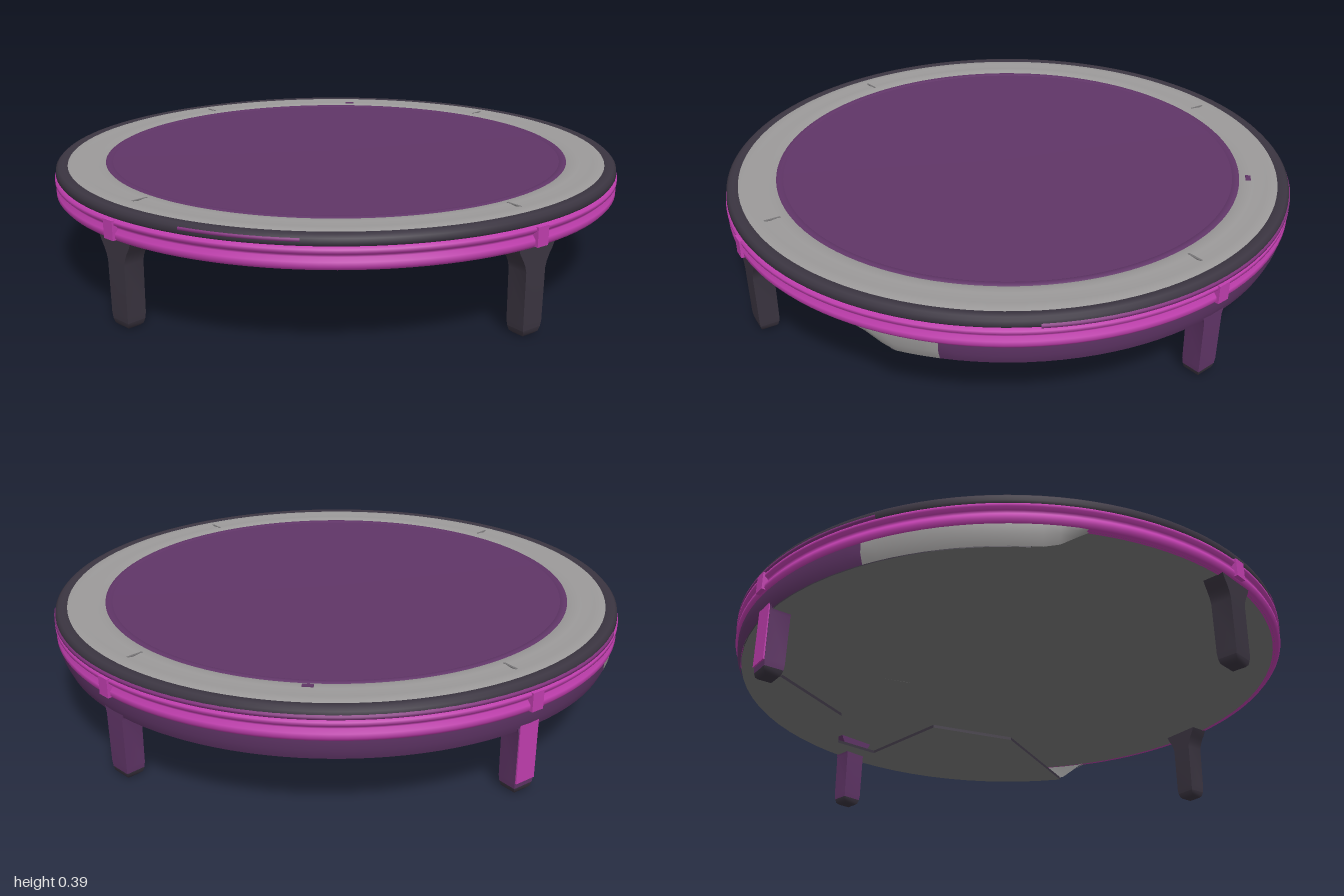
import * as THREE from 'three';
import { toCreasedNormals } from 'three/addons/utils/BufferGeometryUtils.js';

const paint = (name, color) => {
  const m = new THREE.MeshStandardMaterial({ color });
  m.name = name;
  return m;
};

export function createModel() {
  const group = new THREE.Group();
  group.name = 'trampoline';

  const black = paint('charcoal', 0x3b3541);
  const pink = paint('magenta', 0xc03eae);
  const purple = paint('purple', 0x603567);
  const grey = paint('pad grey', 0x9c9a9a);
  const under = paint('underside grey', 0x7a7a7a);
  const seam = paint('seam grey', 0x777577);
  const plum = paint('plum', 0x84337f);

  const deg = Math.PI / 180;
  const add = (name, geometry, material) => {
    const mesh = new THREE.Mesh(geometry, material);
    mesh.name = name;
    group.add(mesh);
    return mesh;
  };
  // Profile of [radius, height] turned from angle a to b, measured from the front towards +x
  const turned = (pts, a = 0, b = 360) => new THREE.LatheGeometry(
    pts.map(p => new THREE.Vector2(...p)), Math.ceil((b - a) / 3), a * deg, (b - a) * deg);

  // Concentric rings of the top, each profile running outside to inside
  add('outerRim', turned([[0.965, 0.354], [0.984, 0.358], [0.991, 0.368], [0.989, 0.384],
    [0.98, 0.393], [0.966, 0.396], [0.95, 0.391]]), black);
  add('pad', turned([[0.955, 0.389], [0.94, 0.394], [0.915, 0.395], [0.89, 0.391],
    [0.865, 0.394], [0.84, 0.393], [0.82, 0.387]]), grey);
  add('matEdge', turned([[0.822, 0.387], [0.815, 0.391], [0.805, 0.391], [0.795, 0.386]]), purple);
  add('mat', turned([[0.81, 0.387], [0, 0.386]]), purple);

  // Coloured trim on the rim: a long strip round the back, a short one in front
  add('backTrim', turned([[0.984, 0.355], [0.995, 0.362], [0.995, 0.37], [0.988, 0.376]], 105, 250), plum);
  add('frontTrim', turned([[0.988, 0.372], [0.993, 0.376], [0.992, 0.382], [0.986, 0.386]], 336, 357), plum);

  // Side band with a shallow groove
  add('sideBand', turned([[0.965, 0.288], [0.984, 0.291], [0.993, 0.302], [0.992, 0.316],
    [0.981, 0.328], [0.985, 0.336], [0.995, 0.343], [0.995, 0.353], [0.985, 0.361], [0.965, 0.362]]), pink);
  add('underside', turned([[0, 0.289], [0.972, 0.289]]), under);

  // Skirt round the back half; its lower edge rises at both ends
  const from = 72, to = 288;
  const outside = [[0.968, 0.225], [0.982, 0.258], [0.984, 0.296]];
  const inside = [[0.974, 0.296], [0.972, 0.258], [0.962, 0.225]];
  const skirt = (name, profile, a, b, material) => {
    const g = turned(profile, a, b);
    const p = g.attributes.position;
    for (let i = 0; i < p.count; i++) {
      const angle = (Math.atan2(p.getX(i), p.getZ(i)) / deg + 360) % 360;
      const t = THREE.MathUtils.clamp(Math.min(angle - from, to - angle) / 7, 0, 1);
      p.setY(i, 0.296 - (0.296 - p.getY(i)) * t);
    }
    g.computeVertexNormals();
    add(name, g, material);
  };
  skirt('skirtLeftEnd', outside, from, 88, grey);
  skirt('skirtBack', outside, 88, 247, purple);
  skirt('skirtRightEnd', outside, 247, to, grey);
  skirt('linerLeft', inside, from, 150, under);
  skirt('linerBack', inside, 150, 205, purple);
  skirt('linerRight', inside, 205, 252, grey);
  skirt('linerRightEnd', inside, 252, to, purple);

  // Lower floor panel with a ragged inner edge, drawn in axes turned by 45 degrees
  const edge = [[-0.8, 0.54], [-0.32, 0.34], [0, 0.45], [0.02, 0.84], [0.2, 0.84], [0.34, 0.6],
    [0.7, 0.45], [0.68, 0.32], [0.32, 0.18], [0.32, -0.24], [0.59, -0.76]];
  for (let a = -50; a <= 145; a += 5) edge.push([0.965 * Math.cos(a * deg), 0.965 * Math.sin(a * deg)]);
  const panel = new THREE.Shape(edge.map(([u, v]) =>
    new THREE.Vector2((v - u) * Math.SQRT1_2, (v + u) * Math.SQRT1_2)));
  const floorGeo = new THREE.ExtrudeGeometry(panel, { depth: 0.012, bevelEnabled: false });
  floorGeo.rotateX(-Math.PI / 2).translate(0, 0.224, 0);
  add('lowerFloor', floorGeo, [under, black]);

  // Pale upright step along one floor edge
  const step = add('floorStep', new THREE.BoxGeometry(0.383, 0.064, 0.008), grey);
  step.position.set(-0.18, 0.257, -0.527);
  step.rotation.y = -Math.atan2(0.346, 0.163);

  // Square legs facing outwards, flared sideways under the band
  const square = (pts) => {
    const g = new THREE.LatheGeometry(pts.map(p => new THREE.Vector2(...p)), 4);
    g.rotateY(Math.PI / 4).scale(1, 1, 0.86);
    const p = g.attributes.position;
    for (let i = 0; i < p.count; i++) {
      const flare = Math.max(0, (p.getY(i) - 0.215) / 0.075);
      p.setX(i, p.getX(i) * (1 + 0.95 * Math.min(1, flare) ** 1.5));
    }
    return toCreasedNormals(g, 0.9);
  };
  const legGeo = square([[0.053, 0.025], [0.056, 0.045], [0.058, 0.215], [0.058, 0.235],
    [0.058, 0.255], [0.058, 0.275], [0.058, 0.3]]);
  const footGeo = square([[0, 0.002], [0.036, 0.003], [0.047, 0.01], [0.053, 0.025]]);
  const legs = [
    ['frontLeftLeg', 0.605, 0.725, black], ['frontRightLeg', -0.605, 0.725, black],
    ['backLeftLeg', 0.605, -0.715, purple], ['backRightLeg', -0.605, -0.715, purple]];
  for (const [name, x, z, material] of legs) {
    const turn = Math.atan2(x, z);
    const place = (part, geometry, mat, radius, y) => {
      const mesh = add(part, geometry, mat);
      mesh.position.set(radius * Math.sin(turn), y, radius * Math.cos(turn));
      mesh.rotation.y = turn;
    };
    const radius = Math.hypot(x, z);
    place(name, legGeo, material, radius, 0);
    place(name + 'Foot', footGeo, black, radius, 0);
    place(name + 'Bracket', new THREE.BoxGeometry(0.045, 0.062, 0.03), pink, 0.986, 0.326);
    place('padSeam', new THREE.BoxGeometry(0.008, 0.005, 0.055), seam, 0.88, 0.392);
    // Bright outer face of one back leg
    if (name === 'backRightLeg') {
      place('legFace', new THREE.BoxGeometry(0.076, 0.21, 0.006), pink, radius + 0.036, 0.15);
    }
  }

  // Small tag at the back of the pad
  add('tag', new THREE.BoxGeometry(0.035, 0.006, 0.018), purple).position.set(0.02, 0.393, -0.85);

  return group;
}
